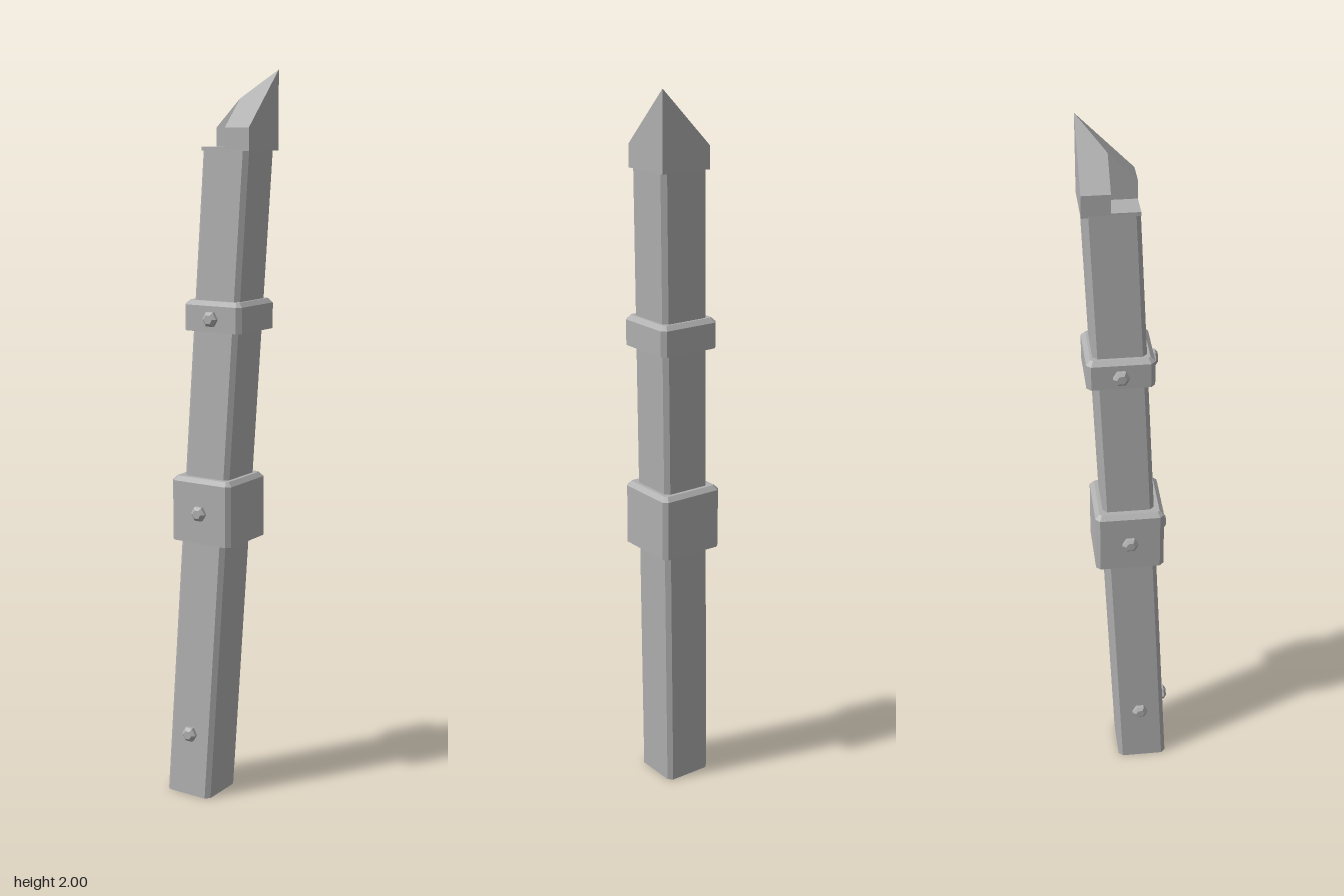
import * as THREE from 'three';

const grey = new THREE.MeshStandardMaterial({ color: 0xb0b0b0 });
grey.name = 'plain grey';

// Flat-shaded geometry from convex polygons with counter-clockwise corners
function fromFaces(faces) {
  const pos = [];
  for (const f of faces)
    for (let i = 1; i < f.length - 1; i++) pos.push(...f[0], ...f[i], ...f[i + 1]);
  const geo = new THREE.BufferGeometry();
  geo.setAttribute('position', new THREE.Float32BufferAttribute(pos, 3));
  geo.computeVertexNormals();
  return geo;
}

// Square section with cut corners; its centre leans equally to +x and -z
function ring(y, centre, half, cut) {
  const a = half, b = half - cut;
  return [[a, b], [b, a], [-b, a], [-a, b], [-a, -b], [-b, -a], [b, -a], [a, -b]]
    .map(([x, z]) => [centre + x, y, z - centre]);
}

// Solid joining a stack of rings, lowest first
function loft(rings) {
  const faces = [rings[0], [...rings[rings.length - 1]].reverse()];
  for (let r = 0; r < rings.length - 1; r++)
    for (let i = 0; i < 8; i++) {
      const j = (i + 1) % 8, lo = rings[r], hi = rings[r + 1];
      faces.push([lo[j], lo[i], hi[i], hi[j]]);
    }
  return fromFaces(faces);
}

function tipGeometry() {
  const x0 = -0.032, xm = 0.042, x1 = 0.116;
  const f = -x0, m = -xm, b = -x1;
  const base = 1.79, low = 1.8, edge = 1.85, mid = 1.925, top = 2;
  return fromFaces([
    // outer sides
    [[x1, base, f], [x1, base, b], [x1, top, b], [x1, edge, f]],
    [[x1, base, b], [x0, base, b], [x0, edge, b], [x1, top, b]],
    [[x0, base, f], [x1, base, f], [x1, low, f], [x0, low, f]],
    [[xm, low, f], [x1, low, f], [x1, edge, f], [xm, edge, f]],
    [[x0, base, b], [x0, base, f], [x0, low, f], [x0, low, b]],
    [[x0, low, b], [x0, low, m], [x0, edge, m], [x0, edge, b]],
    // notch
    [[xm, low, m], [xm, low, f], [xm, edge, f], [xm, mid, m]],
    [[x0, low, m], [xm, low, m], [xm, mid, m], [x0, edge, m]],
    [[x0, low, f], [xm, low, f], [xm, low, m], [x0, low, m]],
    // slopes and underside
    [[xm, edge, f], [x1, edge, f], [x1, top, b], [xm, mid, m]],
    [[x0, edge, b], [x0, edge, m], [xm, mid, m], [x1, top, b]],
    [[x0, base, b], [x1, base, b], [x1, base, f], [x0, base, f]],
  ]);
}

// Hexagonal bolt head pointing to +z
function boltGeometry() {
  const profile = [[0.022, -0.01], [0.022, 0.009], [0.013, 0.016], [0, 0.016]]
    .map(([r, y]) => new THREE.Vector2(r, y));
  const geo = new THREE.LatheGeometry(profile, 6).toNonIndexed();
  geo.rotateY(Math.PI / 6);
  geo.rotateX(Math.PI / 2);
  geo.computeVertexNormals();
  return geo;
}

export function createModel() {
  const model = new THREE.Group();
  model.name = 'post';
  const add = (name, geo) => {
    const mesh = new THREE.Mesh(geo, grey);
    mesh.name = name;
    model.add(mesh);
    return mesh;
  };

  // Leaning shaft and notched point
  add('shaft', loft([ring(0, -0.035, 0.071, 0.012), ring(1.795, 0.039, 0.071, 0.012)]));
  add('tip', tipGeometry());

  // Upright bands with bevelled top edges
  const band = (name, y0, y1, centre, half) => add(name, loft([
    ring(y0, centre, half, 0.012),
    ring(y1 - 0.012, centre, half, 0.012),
    ring(y1, centre, half - 0.012, 0.006),
  ]));
  band('lowerBand', 0.735, 0.915, 0.001, 0.095);
  band('upperBand', 1.315, 1.397, 0.022, 0.09);

  // Bolts on the front and the -x side
  const bolt = boltGeometry();
  for (const [y, centre, half] of [[0.18, -0.028, 0.071], [0.82, 0.001, 0.095], [1.35, 0.022, 0.09]]) {
    add('frontBolt', bolt).position.set(centre, y, half - centre);
    const side = add('sideBolt', bolt);
    side.position.set(centre - half, y, -centre);
    side.rotation.y = -Math.PI / 2;
  }
  return model;
}
